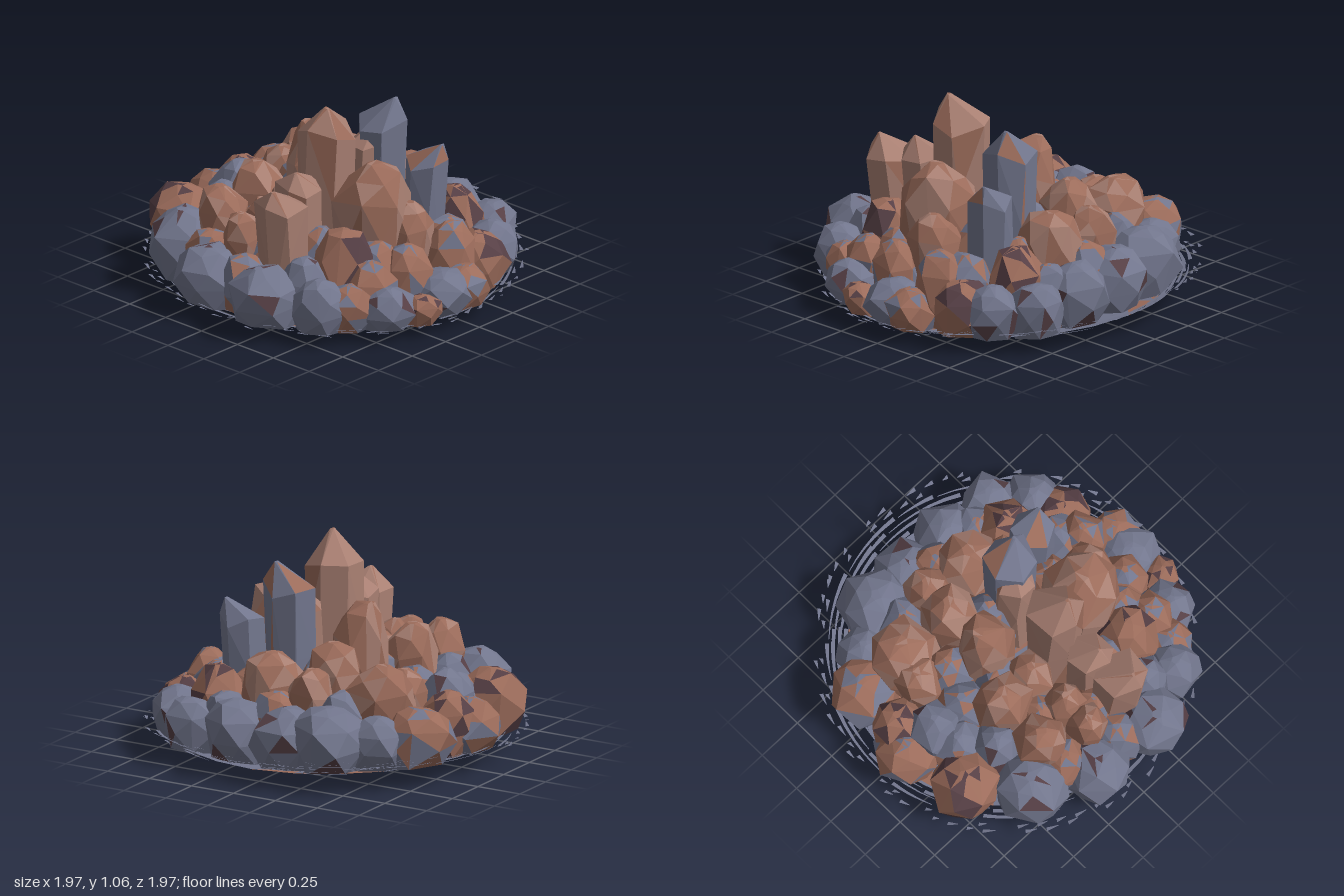
import * as THREE from 'three';
import { mergeGeometries } from 'three/addons/utils/BufferGeometryUtils.js';
import { ConvexGeometry } from 'three/addons/geometries/ConvexGeometry.js';

let seed = 7;
const rand = () => {
  seed = (seed * 16807) % 2147483647;
  return seed / 2147483647;
};
const jitter = (a) => (rand() - 0.5) * 2 * a;

const mat = (color) => new THREE.MeshStandardMaterial({ color, flatShading: true, side: THREE.DoubleSide });
const BLUE = mat(0x72768d), BROWN = mat(0x9c6c5b), TAN = mat(0xa87f72), DARK = mat(0x574046);

// height of the shallow, slightly tilted dish everything grows from
const dish = (x, z) => 0.002 + 0.1 * (x * x + z * z) + 0.015 * x - 0.025 * z;

// profiles as [height fraction, radius fraction]
const CRYSTAL = [[0, 0.85], [0.5, 0.95], [0.86, 1], [1, 0.08]];
const BLUNT = [[0, 0.8], [0.5, 0.98], [0.75, 1], [0.92, 0.68], [1, 0.2]];
const ROCK = [[0, 0.82], [0.38, 1.04], [0.7, 0.95], [0.92, 0.55], [1, 0.15]];

// flat triangles shared out at random between a main and a patch tone
function facetGroup(name, pos, main, patch, amount) {
  const lists = [[], []];
  for (let i = 0; i < pos.length; i += 9) lists[rand() < amount ? 1 : 0].push(...pos.slice(i, i + 9));
  const group = new THREE.Group();
  group.name = name;
  lists.forEach((list, i) => {
    if (!list.length) return;
    const g = new THREE.BufferGeometry();
    g.setAttribute('position', new THREE.Float32BufferAttribute(list, 3));
    g.computeVertexNormals();
    const mesh = new THREE.Mesh(g, i ? patch : main);
    mesh.name = i ? 'stainedFacets' : 'facets';
    group.add(mesh);
  });
  return group;
}

// one stone: convex hull of jittered rings, leaning outward, with an off-centre tip
function stone(name, [x, z, r, top, tipX = x, tipZ = z], profile, main, patch, amount) {
  const foot = dish(x, z), h = top - foot, pts = [];
  const prism = profile === CRYSTAL;
  const sides = 6, rough = prism ? 0.05 : 0.1, lean = profile === ROCK ? 0.04 : 0.08;
  const turn = rand() * 6.28;
  profile.forEach(([f, w], ring) => {
    const k = 1 - lean * (1 - f), cx = f === 1 ? tipX : x * k, cz = f === 1 ? tipZ : z * k;
    const twist = prism ? 0 : (ring % 2) * 0.45;
    for (let i = 0; i < sides; i++) {
      const a = turn + ((i + twist + jitter(0.15)) / sides) * Math.PI * 2;
      const rr = r * w * (1 + jitter(rough));
      const px = cx + Math.cos(a) * rr, pz = cz + Math.sin(a) * rr;
      const bump = f === 1 ? jitter(0.01) : jitter(0.05) * f;
      pts.push(new THREE.Vector3(px, f === 0 ? dish(px, pz) : foot + h * Math.min(f + bump, 1), pz));
    }
  });
  return facetGroup(name, new ConvexGeometry(pts).attributes.position.array, main, patch, amount);
}

// [x, z, radius, top, optional tip x and z]
const tallTan = [
  [-0.22, 0.14, 0.15, 1.06, -0.26, 0.18], [-0.63, 0.2, 0.14, 0.74, -0.7, 0.22],
  [-0.45, 0.16, 0.12, 0.77, -0.49, 0.18], [0.09, 0.14, 0.11, 0.87, 0.13, 0.17],
];
const tallBlue = [[0.16, 0.18, 0.14, 0.99, 0.19, 0.24], [0.24, 0.42, 0.12, 0.78, 0.27, 0.49]];
const bluntBrown = [
  [-0.14, 0.4, 0.2, 0.78], [0, -0.16, 0.15, 0.79, 0, -0.2], [-0.55, -0.29, 0.14, 0.58], [-0.65, -0.05, 0.11, 0.53],
  [-0.49, -0.06, 0.11, 0.56], [-0.27, -0.29, 0.15, 0.63], [0.14, -0.5, 0.13, 0.52], [0.3, -0.46, 0.18, 0.57],
  [0.27, -0.15, 0.15, 0.64], [0.45, -0.13, 0.13, 0.54], [0.41, 0.13, 0.18, 0.58], [-0.03, 0.54, 0.14, 0.57],
  [-0.26, -0.08, 0.13, 0.58],
];
const stainedRocks = [
  [-0.4, -0.7, 0.18, 0.42], [-0.06, -0.77, 0.17, 0.36], [0.07, -0.71, 0.15, 0.42], [0.34, -0.7, 0.19, 0.39],
  [0.44, 0.43, 0.16, 0.48], [0.13, 0.67, 0.14, 0.45], [0.32, 0.7, 0.17, 0.34], [-0.18, 0.67, 0.14, 0.42],
  [-0.42, 0.46, 0.17, 0.52], [-0.4, 0.62, 0.14, 0.38], [-0.26, 0.86, 0.1, 0.22], [0.07, 0.84, 0.13, 0.27],
];
const blueRocks = [
  [-0.81, -0.13, 0.18, 0.37], [-0.81, 0.25, 0.18, 0.37, -0.84, 0.25], [-0.65, -0.46, 0.19, 0.43], [-0.69, 0.53, 0.15, 0.34],
  [-0.38, -0.44, 0.14, 0.46], [-0.09, -0.6, 0.15, 0.48], [0.61, -0.33, 0.2, 0.41], [0.64, -0.1, 0.18, 0.38],
  [0.64, 0.2, 0.18, 0.38], [0.63, 0.49, 0.15, 0.34], [0.47, 0.65, 0.16, 0.34], [-0.42, 0.76, 0.14, 0.28],
  [-0.06, 0.81, 0.16, 0.28], [0.48, -0.55, 0.15, 0.36], [-0.63, 0.37, 0.13, 0.4],
];
// low, broad stones wedged into the gaps
const fillers = [
  [-0.1, -0.42, 0.16, 0.46], [0.08, -0.34, 0.15, 0.5], [-0.13, -0.18, 0.14, 0.5], [-0.42, -0.17, 0.15, 0.46],
  [-0.42, 0.29, 0.14, 0.48], [0.07, 0.36, 0.15, 0.5], [0.22, 0.57, 0.15, 0.42], [-0.27, 0.55, 0.14, 0.43],
  [0.55, 0.32, 0.15, 0.38], [0.54, 0.02, 0.15, 0.42], [-0.74, 0.06, 0.15, 0.36], [0.33, 0.29, 0.15, 0.46],
  [-0.23, -0.57, 0.15, 0.42], [-0.56, 0.62, 0.13, 0.3], [0.15, 0, 0.15, 0.52], [-0.67, -0.24, 0.15, 0.39],
  [0.44, -0.31, 0.14, 0.45], [-0.57, 0.07, 0.13, 0.45],
];

// broken, curved slivers around the rim, climbing towards +x
function rimSlivers() {
  const parts = [];
  for (let ring = 0; ring < 6; ring++) {
    const r = 0.815 + ring * 0.03, outer = ring > 3;
    for (let a = rand(); a < 7; ) {
      const length = outer ? 0.03 + rand() * 0.04 : 0.12 + rand() * 0.4;
      // sparse on the left, where stones cover the rim
      if (rand() < (Math.cos(a) > -0.6 ? 0.95 - ring * 0.06 : 0.4)) {
        const g = new THREE.RingGeometry(r, r + 0.021, outer ? 1 : 5, 1, a, length);
        g.rotateX(-Math.PI / 2);
        const p = g.attributes.position, off = jitter(0.012), slant = jitter(0.012);
        for (let v = 0; v < p.count; v++) {
          // pinch the trailing end so each sliver tapers
          const t = p.count / 2 - 1, k = v > t ? 1 - (0.017 / r) * ((v - t - 1) / t) : 1;
          const x = p.getX(v) * k, z = p.getZ(v) * k;
          p.setXYZ(v, x, dish(x, z) + 0.012 + off + slant * ((v % (t + 1)) / t) + Math.max(0, x) * ring * 0.014, z);
        }
        parts.push(g);
      }
      a += length + (outer ? 0.05 : 0.02);
    }
  }
  return mergeGeometries(parts);
}

// underside: a rough disc bent to the dish, stained brown in places
function dishBase() {
  const g = new THREE.RingGeometry(0.01, 0.82, 22, 5);
  g.rotateX(-Math.PI / 2);
  const p = g.attributes.position;
  for (let v = 0; v < p.count; v++) {
    const x = p.getX(v), z = p.getZ(v);
    p.setY(v, dish(x, z) + 0.004 * Math.sin(x * 23 + z * 9) ** 2);
  }
  return facetGroup('dishBase', g.toNonIndexed().attributes.position.array, BLUE, BROWN, 0.22);
}

export function createModel() {
  seed = 7;
  const model = new THREE.Group();
  model.name = 'crystalCluster';

  const add = (list, name, profile, main, patch, amount) => {
    for (const spec of list) model.add(stone(name, spec, profile, main, patch, amount));
  };
  add(tallTan, 'tallCrystal', CRYSTAL, TAN, BROWN, 0.12);
  add(tallBlue, 'tallBlueCrystal', CRYSTAL, BLUE, BROWN, 0.08);
  add(bluntBrown, 'bluntCrystal', BLUNT, BROWN, TAN, 0.3);
  stainedRocks.forEach((spec, i) => add([spec], 'stainedRock', ROCK, BROWN, i % 2 ? BLUE : DARK, 0.3));
  add(blueRocks, 'blueRock', ROCK, BLUE, DARK, 0.08);
  fillers.forEach((spec, i) => add([spec], 'wedgedStone', ROCK, i % 2 ? BROWN : BLUE, i % 2 ? BLUE : BROWN, 0.25));

  model.add(dishBase());
  const rim = new THREE.Mesh(rimSlivers(), BLUE);
  rim.name = 'rimSlivers';
  model.add(rim);
  return model;
}
